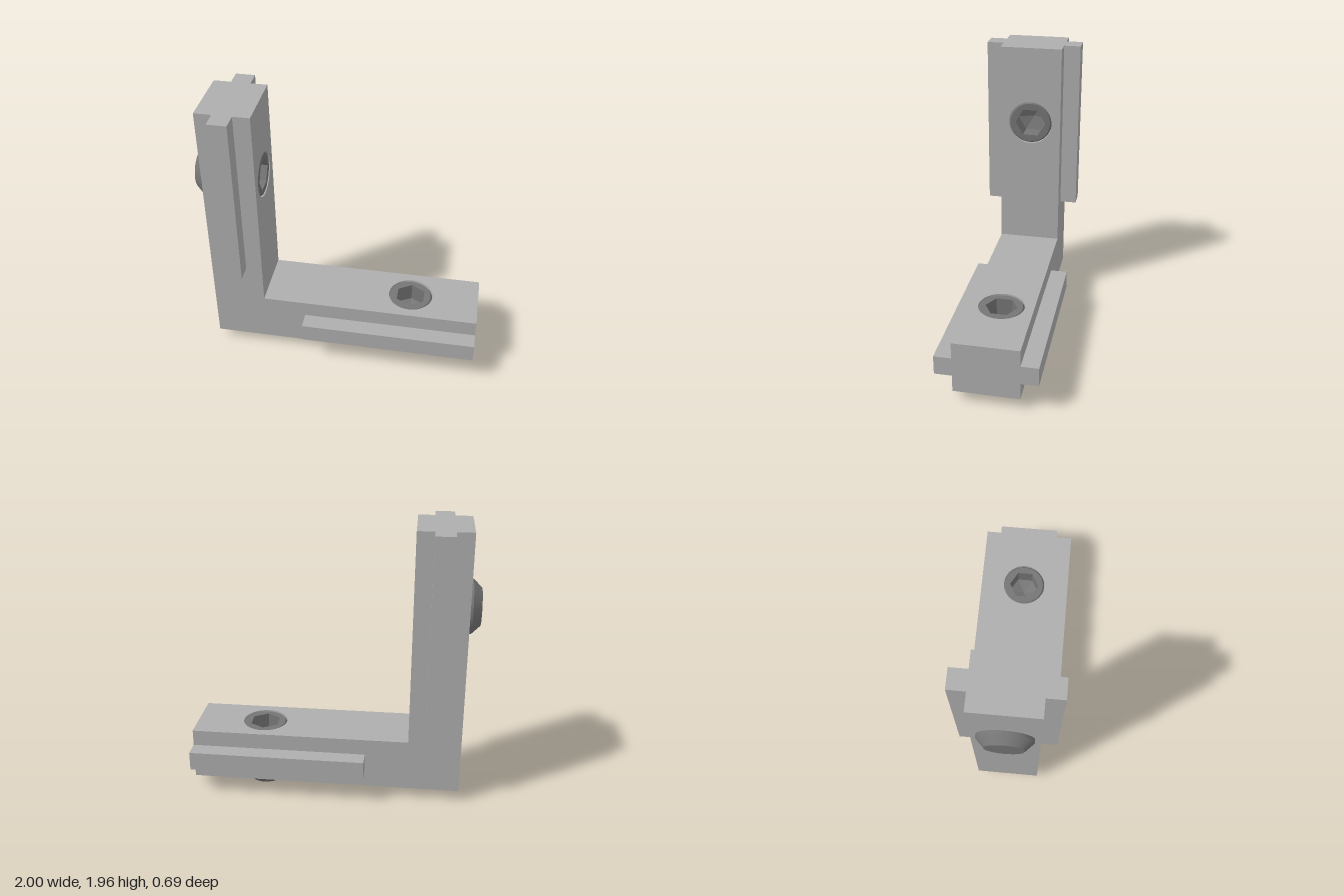
import * as THREE from 'three';
import { toCreasedNormals } from 'three/addons/utils/BufferGeometryUtils.js';

const T = 0.37, HALF = 0.225, HOLE = 0.16, HEX = 0.112;

const bodySteel = new THREE.MeshStandardMaterial({ color: 0xaeaeae });
bodySteel.name = 'bracket grey';
const screwSteel = new THREE.MeshStandardMaterial({ color: 0x757575, side: THREE.DoubleSide });
screwSteel.name = 'screw dark grey';

function add(group, name, geometry, material) {
  const mesh = new THREE.Mesh(geometry, material);
  mesh.name = name;
  group.add(mesh);
  return mesh;
}

// extrude a plan shape upwards along y
function extrudeUp(shape, depth) {
  const g = new THREE.ExtrudeGeometry(shape, { depth, bevelEnabled: false, curveSegments: 24 });
  return toCreasedNormals(g.rotateX(-Math.PI / 2), 0.6);
}

function circle(x, r) {
  return new THREE.Path().absarc(x, 0, r, 0, Math.PI * 2, true);
}

// set screw: chamfered tip below, hexagon socket on top
function makeScrew() {
  const screw = new THREE.Group();
  screw.name = 'setScrew';
  const profile = [
    [0, -0.08], [0.13, -0.08], [0.187, -0.02], [0.187, 0.002], [0.158, 0.002],
    [0.158, T - 0.018], [0.147, T - 0.004],
  ].map(([r, y]) => new THREE.Vector2(r, y));
  add(screw, 'screwShank', toCreasedNormals(new THREE.LatheGeometry(profile, 48), 0.4), screwSteel);

  const face = new THREE.Shape().absarc(0, 0, 0.147, 0, Math.PI * 2, false);
  const hex = [];
  for (let i = 0; i < 6; i++) {
    const a = Math.PI / 2 - i * Math.PI / 3;
    hex.push(new THREE.Vector2(HEX * Math.cos(a), HEX * Math.sin(a)));
  }
  face.holes.push(new THREE.Path(hex));
  const depth = 0.13;
  add(screw, 'hexSocket', extrudeUp(face, depth), screwSteel).position.y = T - 0.004 - depth;

  // shallow conical floor of the socket
  const floor = new THREE.ConeGeometry(HEX, 0.04, 6, 1, true).rotateX(Math.PI).toNonIndexed();
  floor.computeVertexNormals();
  add(screw, 'socketFloor', floor, screwSteel).position.y = T - 0.004 - depth - 0.02;
  return screw;
}

// one arm along +x from the outer corner, with side rails and a screw
function makeArm(name, start, length, railStart, screwX) {
  const arm = new THREE.Group();
  arm.name = name;
  const plan = new THREE.Shape([
    new THREE.Vector2(start, -HALF), new THREE.Vector2(length, -HALF),
    new THREE.Vector2(length, HALF), new THREE.Vector2(start, HALF),
  ]);
  plan.holes.push(circle(screwX, HOLE));
  add(arm, 'armBar', extrudeUp(plan, T), bodySteel);

  for (const side of [1, -1]) {
    const rail = add(arm, 'slotRail', new THREE.BoxGeometry(length - railStart, 0.134, 0.12), bodySteel);
    rail.position.set((length + railStart) / 2, 0.187, side * (HALF + 0.06));
  }
  const screw = makeScrew();
  screw.position.x = screwX;
  arm.add(screw);
  return arm;
}

export function createModel() {
  const model = new THREE.Group();
  model.name = 'cornerBracket';

  const foot = makeArm('horizontalArm', 0, 1.92, 0.675, 1.427);
  foot.position.set(-0.92, 0.078, 0);

  // turned half a turn about the diagonal, so length runs up and the screw tip points to -x
  const upright = makeArm('verticalArm', T, 1.885, 0.643, 1.32);
  upright.quaternion.setFromAxisAngle(new THREE.Vector3(1, 1, 0).normalize(), Math.PI);
  upright.position.copy(foot.position);

  model.add(foot, upright);
  return model;
}
